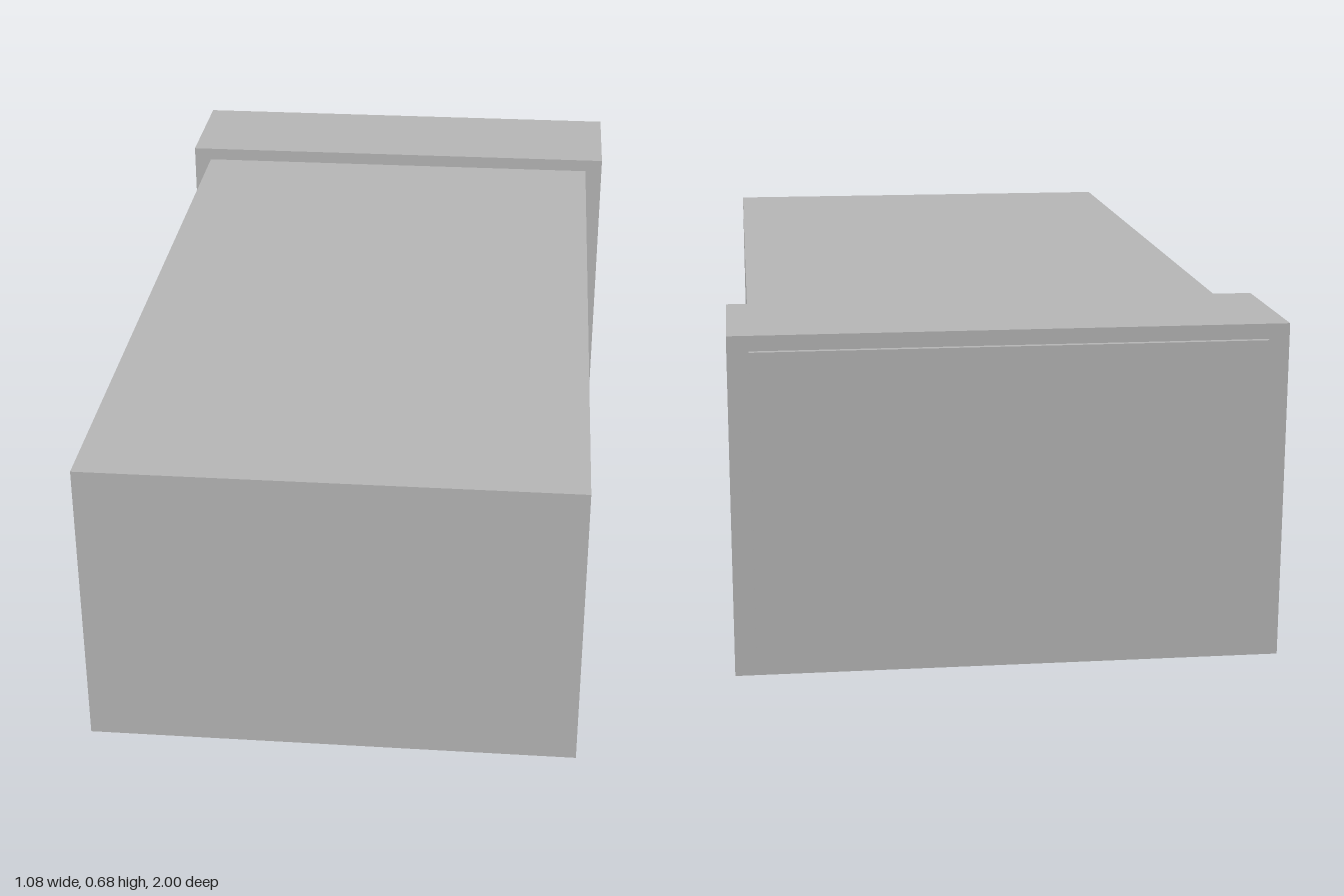
import * as THREE from 'three';

export function createModel() {
  const group = new THREE.Group();
  group.name = 'sleevedBlock';
  const grey = new THREE.MeshStandardMaterial({ color: 0xb8b8b8 });
  grey.name = 'light grey';

  // Long rectangular body
  const body = new THREE.Mesh(new THREE.BoxGeometry(1, 0.62, 2), grey);
  body.name = 'body';
  body.position.set(0, 0.34, 0);
  group.add(body);

  // Wider collar wrapped around the rear end, stopping just short of the back face
  const collar = new THREE.Mesh(new THREE.BoxGeometry(1.084, 0.68, 0.304), grey);
  collar.name = 'rearCollar';
  collar.position.set(0, 0.34, -0.836);
  group.add(collar);

  return group;
}
